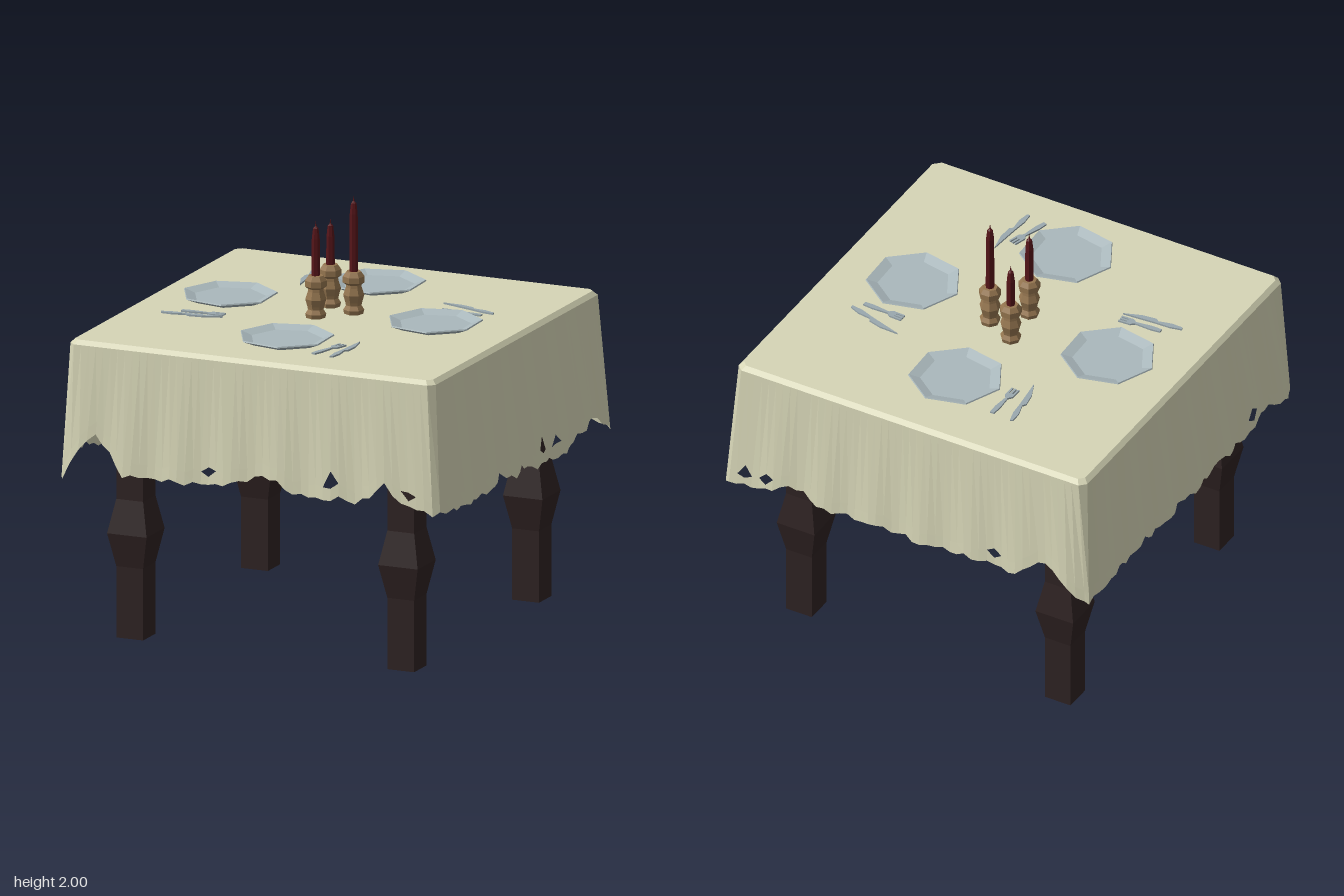
import * as THREE from 'three';

const paint = (name, color) => {
  const m = new THREE.MeshStandardMaterial({ color });
  m.name = name;
  return m;
};

// Faceted normals
function facet(geo) {
  const g = geo.index ? geo.toNonIndexed() : geo;
  g.computeVertexNormals();
  return g;
}

function add(parent, name, geo, material, x = 0, y = 0, z = 0) {
  const mesh = new THREE.Mesh(facet(geo), material);
  mesh.name = name;
  mesh.position.set(x, y, z);
  parent.add(mesh);
  return mesh;
}

const lathe = (profile, sides, start = 0) =>
  new THREE.LatheGeometry(profile.map(p => new THREE.Vector2(...p)), sides, start);

// Hem heights along each side, walking front, right, back, left
const SIDES = [
  { flare: 0.05, holes: [[-0.2, 0.875, 0.92], [0.42, 0.89, 0.97], [0.8, 0.87, 0.91]],
    hem: [0.78, 0.94, 1.01, 0.93, 0.83, 0.84, 0.83, 0.84, 0.83, 0.84, 0.84, 0.86, 0.88,
      0.91, 0.89, 0.84, 0.84, 0.83, 0.85, 0.83, 0.87, 0.94, 0.85, 0.84, 0.81] },
  { flare: 0.065, holes: [[0.17, 0.85, 0.93], [0.29, 0.86, 0.9]],
    hem: [0.82, 0.82, 0.81, 0.81, 0.81, 0.81, 0.81, 0.82, 0.86, 0.83, 0.81, 0.84, 0.82,
      0.8, 0.81, 0.8, 0.79, 0.8, 0.81, 0.84, 0.85, 0.89, 0.86, 0.81, 0.78] },
  { flare: 0.045, holes: [[-0.86, 0.84, 0.91], [-0.74, 0.85, 0.91], [0.45, 0.87, 0.92]],
    hem: [0.79, 0.8, 0.81, 0.84, 0.88, 0.87, 0.83, 0.82, 0.83, 0.82, 0.84, 0.82, 0.83,
      0.81, 0.83, 0.82, 0.84, 0.83, 0.84, 0.82, 0.86, 0.93, 0.92, 0.84, 0.78] },
  { flare: 0.06, holes: [[0.55, 0.88, 0.95]],
    hem: [0.78, 0.8, 0.82, 0.85, 0.82, 0.83, 0.86, 0.82, 0.83, 0.82, 0.85, 0.83, 0.82,
      0.84, 0.82, 0.86, 0.83, 0.84, 0.82, 0.85, 0.87, 0.86, 0.83, 0.81, 0.79] },
];

// Draped cloth: a closed loop of columns, each split by a gap that opens at the tears
function clothGeometry() {
  const N = 48, columns = [];
  SIDES.forEach(({ flare, holes, hem }, k) => {
    for (let i = 0; i <= N; i++) {
      const t = (2 * i) / N - 1;
      const j = Math.floor(i / 2);
      const base = i % 2 ? (hem[j] + hem[j + 1]) / 2 : hem[j];
      const low = base + 0.008 * Math.sin(i * 2.3 + k * 1.7);
      const hole = holes.find(h => Math.round((h[0] / 0.92 + 1) * N / 2) === i);
      const gap = hole ? [hole[2], hole[1]] : [low + 0.06, low + 0.06];
      const end = Math.min(1, (1 - Math.abs(t)) / 0.1);
      const out = flare * (0.55 + 0.45 * end) + 0.009 * Math.sin(i * 0.95 + k);
      const place = (along, depth, y) =>
        new THREE.Vector3(along, y, depth).applyAxisAngle(new THREE.Vector3(0, 1, 0), k * Math.PI / 2);
      const drop = y => {
        const f = (1.42 - y) / 0.62;
        return place(t * (0.895 + 0.045 * f), 0.925 + out * f, y);
      };
      columns.push([place(t * 0.88, 0.905, 1.44), drop(1.42), drop(gap[0]), drop(gap[1]), drop(low)]);
    }
  });
  const centre = new THREE.Vector3(0, 1.44, 0), pts = [];
  columns.forEach((a, i) => {
    const b = columns[(i + 1) % columns.length];
    pts.push(centre, a[0], b[0]);
    for (const r of [0, 1, 3]) pts.push(a[r], a[r + 1], b[r + 1], a[r], b[r + 1], b[r]);
  });
  return new THREE.BufferGeometry().setFromPoints(pts);
}

// Flat cutlery outline, handle end at the origin, tip along +y
function cutleryGeometry(points) {
  const shape = new THREE.Shape(points.map(p => new THREE.Vector2(...p)));
  return new THREE.ExtrudeGeometry(shape, { depth: 0.008, bevelEnabled: false }).rotateX(-Math.PI / 2);
}

const KNIFE = [[-0.004, 0], [0.01, 0.005], [0.016, 0.06], [0.006, 0.125], [0.02, 0.14],
  [0.018, 0.21], [-0.006, 0.3], [-0.008, 0.13], [-0.012, 0.06]];
const FORK = [[-0.01, 0], [0.01, 0], [0.013, 0.05], [0.006, 0.13], [0.021, 0.15], [0.021, 0.21],
  [0.012, 0.21], [0.011, 0.17], [0.005, 0.17], [0.005, 0.21], [-0.005, 0.21], [-0.005, 0.17],
  [-0.011, 0.17], [-0.012, 0.21], [-0.021, 0.21], [-0.021, 0.15], [-0.006, 0.13], [-0.013, 0.05]];

export function createModel() {
  const model = new THREE.Group();
  model.name = 'diningTable';
  const wood = paint('dark wood', 0x2e2222);
  const linen = paint('linen', 0xd6d5b6);
  linen.side = THREE.DoubleSide;
  const china = paint('blue grey china', 0xaab8bc);
  const steel = paint('steel', 0x9aa8ae);
  const brass = paint('candle holder brown', 0x94754f);
  const wax = paint('dark red wax', 0x561519);

  // Table
  add(model, 'tableTop', new THREE.BoxGeometry(1.8, 0.13, 1.8), wood, 0, 1.365, 0);
  const q = Math.SQRT2;
  const legProfile = [[0, 0], [0.068 * q, 0], [0.068 * q, 0.34], [0.1 * q, 0.5],
    [0.068 * q, 0.66], [0.068 * q, 1.31]];
  for (const x of [-0.688, 0.685])
    for (const z of [-0.688, 0.69])
      add(model, 'leg', lathe(legProfile, 4, Math.PI / 4), wood, x, 0, z);
  add(model, 'tablecloth', clothGeometry(), linen);

  // Seven-sided plates
  const plateProfile = [[0, 0], [0.165, 0], [0.225, 0.024], [0.222, 0.03], [0.17, 0.012], [0, 0.012]];
  for (const [x, z] of [[-0.02, -0.525], [-0.55, -0.04], [0.515, 0.015], [0.005, 0.545]])
    add(model, 'plate', lathe(plateProfile, 7, Math.PI * 0.94), china, x, 1.443, z);

  // Cutlery: handle end, then tip
  const lay = (name, outline, x, z, tipX, tipZ) => {
    const mesh = add(model, name, cutleryGeometry(outline), steel, x, 1.446, z);
    mesh.rotation.y = Math.atan2(x - tipX, z - tipZ);
  };
  for (const p of [[-0.395, -0.68, -0.355, -0.38], [0.68, -0.275, 0.4, -0.36],
    [-0.73, 0.325, -0.43, 0.3], [0.32, 0.74, 0.34, 0.44]]) lay('knife', KNIFE, ...p);
  for (const p of [[-0.29, -0.67, -0.295, -0.46], [0.64, -0.23, 0.43, -0.24],
    [-0.65, 0.265, -0.44, 0.255], [0.225, 0.72, 0.285, 0.51]]) lay('fork', FORK, ...p);

  // Candles in turned holders
  const holderProfile = [[0, 0], [0.045, 0], [0.05, 0.02], [0.037, 0.04], [0.04, 0.055], [0.05, 0.09],
    [0.038, 0.125], [0.036, 0.138], [0.052, 0.15], [0.052, 0.178], [0.036, 0.2], [0, 0.2]];
  for (const [x, z, top] of [[-0.075, -0.122, 1.86], [0.075, -0.052, 2], [-0.053, 0.088, 1.9]]) {
    add(model, 'candleHolder', lathe(holderProfile, 7), brass, x, 1.441, z);
    const h = top - 1.62;
    add(model, 'candle', lathe([[0.021, 0], [0.019, h - 0.085], [0.013, h - 0.035],
      [0.004, h - 0.025], [0, h]], 7), wax, x, 1.62, z);
  }
  return model;
}
